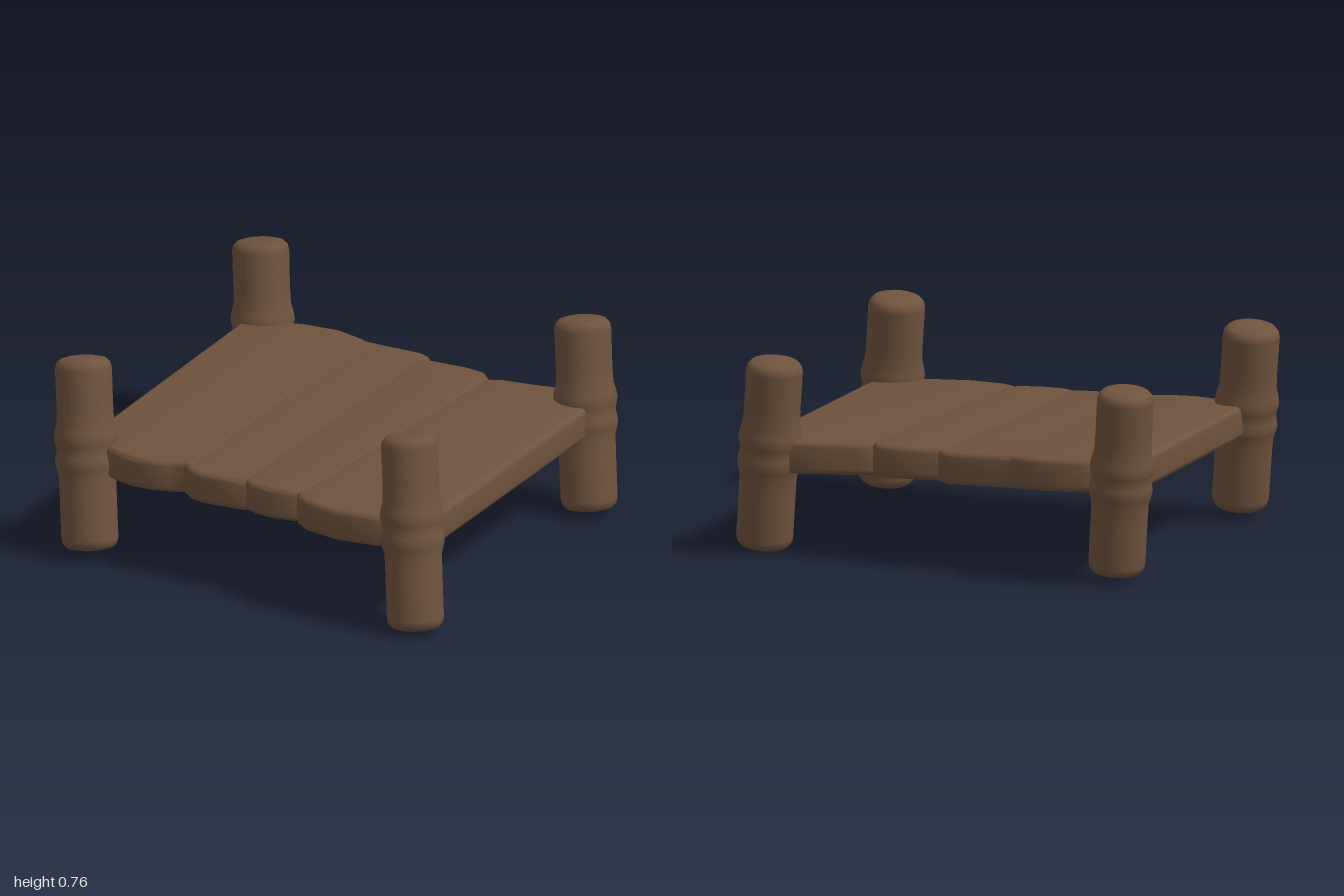
import * as THREE from 'three';
import { toCreasedNormals } from 'three/addons/utils/BufferGeometryUtils.js';

const wood = new THREE.MeshStandardMaterial({ color: 0x6f533d });
wood.name = 'brown wood';

// Plank outlines as [x, z]: the back end left to right, then the front end right to left
const planks = [
  { lift: 0.003, outline: [[-0.77, -0.74], [-0.7, -0.79], [-0.6, -0.835], [-0.55, -0.85], [-0.4, -0.85], [-0.33, -0.825], [-0.27, -0.8],
    [-0.25, 0.7], [-0.29, 0.685], [-0.35, 0.705], [-0.4, 0.72], [-0.5, 0.72], [-0.58, 0.69], [-0.72, 0.62], [-0.75, 0.52]] },
  { lift: 0, outline: [[-0.35, -0.825], [-0.27, -0.8], [-0.2, -0.792], [-0.02, -0.78], [0.015, -0.76], [0.04, -0.72],
    [0.03, 0.73], [0, 0.738], [-0.03, 0.75], [-0.2, 0.748], [-0.25, 0.73], [-0.3, 0.68]] },
  { lift: 0.003, outline: [[0, -0.7], [0.04, -0.72], [0.2, -0.715], [0.28, -0.695], [0.31, -0.66], [0.33, -0.63],
    [0.25, 0.74], [0.2, 0.775], [0.1, 0.78], [0.03, 0.765], [-0.02, 0.735]] },
  { lift: 0, outline: [[0.29, -0.62], [0.32, -0.645], [0.37, -0.665], [0.5, -0.675], [0.6, -0.69], [0.74, -0.65], [0.785, -0.52],
    [0.79, 0.74], [0.74, 0.81], [0.6, 0.86], [0.52, 0.865], [0.42, 0.87], [0.28, 0.83], [0.23, 0.79], [0.2, 0.74]] },
];

// Leaning posts: bottom and top centres
const posts = [
  { name: 'frontLeftPost', bottom: [0.77, 0.012, 0.885], top: [0.695, 0.745, 0.79] },
  { name: 'frontRightPost', bottom: [-0.685, 0.035, 0.685], top: [-0.77, 0.75, 0.575] },
  { name: 'backLeftPost', bottom: [0.77, 0.018, -0.58], top: [0.7, 0.745, -0.66] },
  { name: 'backRightPost', bottom: [-0.685, 0.035, -0.795], top: [-0.755, 0.75, -0.89] },
];

function makePlank({ outline, lift }, index) {
  const shape = new THREE.Shape(outline.map(([x, z]) => new THREE.Vector2(x, -z)));
  const bevel = 0.022;
  let geometry = new THREE.ExtrudeGeometry(shape, {
    depth: 0.125 - 2 * bevel, bevelThickness: bevel, bevelSize: bevel, bevelOffset: -bevel, bevelSegments: 4,
  });
  geometry.rotateX(-Math.PI / 2);
  // Let the deck sag gently towards the front and one side
  const p = geometry.attributes.position;
  for (let i = 0; i < p.count; i++) {
    p.setY(i, p.getY(i) + 0.34 + lift - 0.013 * p.getX(i) - 0.012 * p.getZ(i));
  }
  geometry = toCreasedNormals(geometry, 0.9);
  const mesh = new THREE.Mesh(geometry, wood);
  mesh.name = `plank${index + 1}`;
  return mesh;
}

// Rounded log with two swollen bands where the deck joins; heights are fractions of the length
const postProfile = [
  [0, 0], [0.06, 0.002], [0.088, 0.012], [0.102, 0.032], [0.107, 0.06], [0.107, 0.3], [0.108, 0.39],
  [0.116, 0.43], [0.12, 0.46], [0.116, 0.49], [0.112, 0.52], [0.116, 0.55], [0.121, 0.58], [0.117, 0.615],
  [0.108, 0.66], [0.106, 0.75], [0.107, 0.94], [0.102, 0.968], [0.088, 0.988], [0.06, 0.998], [0, 1],
];

function makePost({ name, bottom, top }) {
  const a = new THREE.Vector3(...bottom);
  const axis = new THREE.Vector3(...top).sub(a);
  const length = axis.length();
  const profile = postProfile.map(([r, t]) => new THREE.Vector2(r, t * length));
  const mesh = new THREE.Mesh(new THREE.LatheGeometry(profile, 32), wood);
  mesh.name = name;
  mesh.position.copy(a);
  mesh.quaternion.setFromUnitVectors(new THREE.Vector3(0, 1, 0), axis.normalize());
  return mesh;
}

export function createModel() {
  const model = new THREE.Group();
  model.name = 'woodenPlatform';
  const deck = new THREE.Group();
  deck.name = 'deck';
  planks.forEach((plank, i) => deck.add(makePlank(plank, i)));
  model.add(deck);
  posts.forEach((post) => model.add(makePost(post)));
  return model;
}
